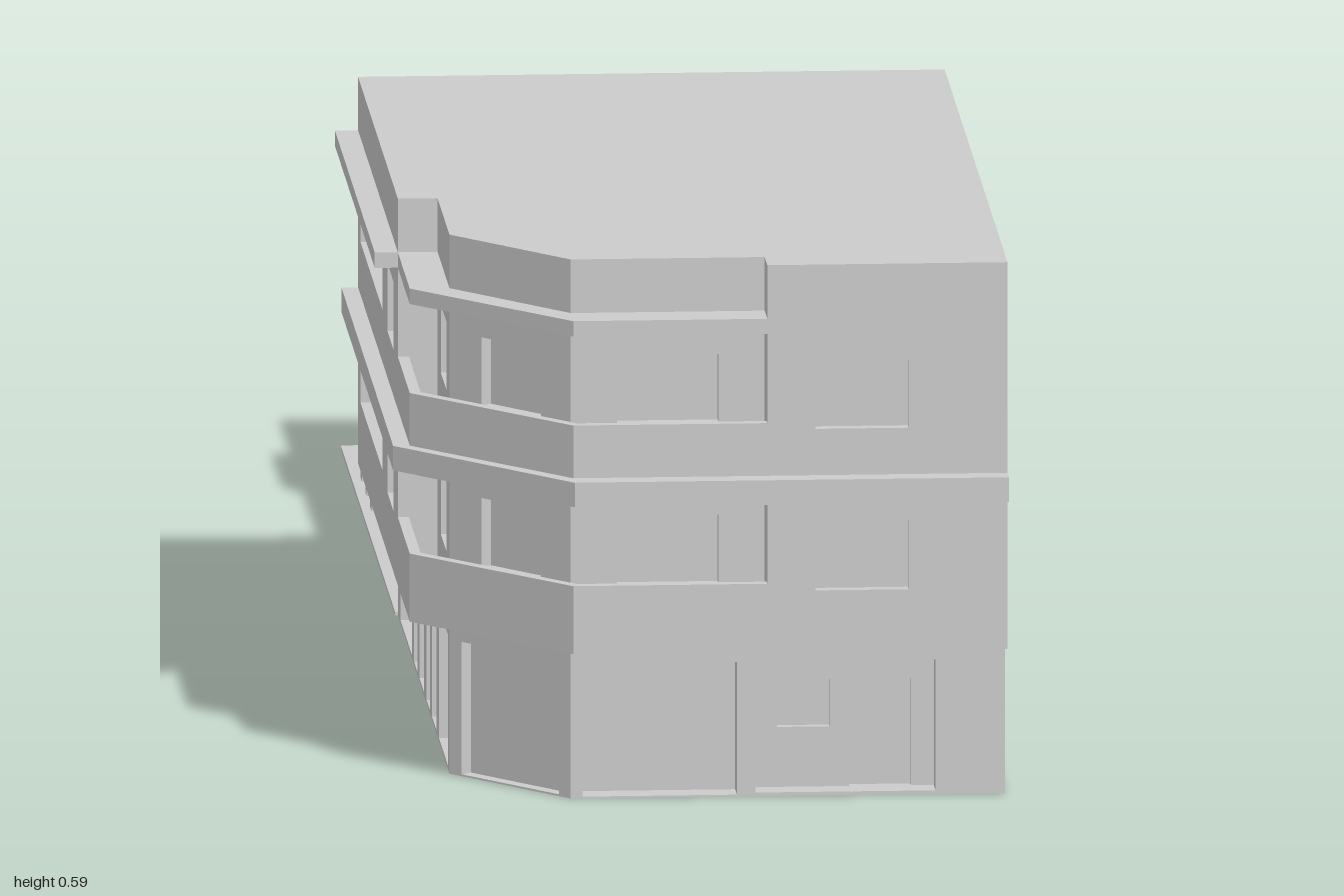
import * as THREE from 'three';

const mat = new THREE.MeshStandardMaterial({ color: 0xcccccc, flatShading: true, side: THREE.DoubleSide });

// Key heights
const OVER = 0.168, LOW = 0.215, TOP = 0.594, SILL = 0.004;

export function createModel() {
  const model = new THREE.Group();
  const add = (name, geo, parent = model) => {
    const m = new THREE.Mesh(geo, mat);
    m.name = name;
    parent.add(m);
    return m;
  };

  // Upright wall from a to b (plan [x, z], left to right seen from outside).
  // Openings are [u0, u1, y0, y1, open?], u measured along the wall; each gets a
  // recessed panel unless it is marked open.
  function wall(name, a, b, y0, y1, openings = [], depth = 0.014) {
    const dx = b[0] - a[0], dz = b[1] - a[1], len = Math.hypot(dx, dz);
    const rect = (T, u0, u1, v0, v1) => {
      const s = new T();
      s.moveTo(u0, v0); s.lineTo(u1, v0); s.lineTo(u1, v1); s.lineTo(u0, v1); s.closePath();
      return s;
    };
    const g = new THREE.Group();
    g.name = name;
    const shape = rect(THREE.Shape, 0, len, y0, y1);
    for (const [u0, u1, v0, v1, open] of openings) {
      shape.holes.push(rect(THREE.Path, u0, u1, v0, v1));
      if (!open) {
        const panel = new THREE.PlaneGeometry(u1 - u0, v1 - v0);
        panel.translate((u0 + u1) / 2, (v0 + v1) / 2, -depth);
        add(name + 'Panel', panel, g);
      }
    }
    const geo = openings.length
      ? new THREE.ExtrudeGeometry(shape, { depth, bevelEnabled: false }).translate(0, 0, -depth)
      : new THREE.ShapeGeometry(shape);
    add(name + 'Face', geo, g);
    g.position.set(a[0], 0, a[1]);
    g.rotation.y = Math.atan2(-dz, dx);
    model.add(g);
  }

  // Horizontal slab with a plan outline of [x, z] points
  function slab(name, pts, y0, y1) {
    const shape = new THREE.Shape(pts.map(([x, z]) => new THREE.Vector2(x, -z)));
    const geo = new THREE.ExtrudeGeometry(shape, { depth: y1 - y0, bevelEnabled: false });
    add(name, geo.rotateX(-Math.PI / 2).translate(0, y0, 0));
  }

  function box(name, x0, x1, y0, y1, z0, z1) {
    add(name, new THREE.BoxGeometry(x1 - x0, y1 - y0, z1 - z0)
      .translate((x0 + x1) / 2, (y0 + y1) / 2, (z0 + z1) / 2));
  }

  // Ground floor shopfronts: side, chamfered corner, front
  const bays = [[-0.04, 0.15], [0.19, 0.25], [0.28, 0.36], [0.40, 0.46], [0.49, 0.57], [0.61, 0.76]];
  wall('sideShopfront', [-0.262, -0.085], [-0.262, 0.785], 0, OVER,
    bays.map(([a, b]) => [a + 0.085, b + 0.085, SILL, 0.148]));
  wall('cornerShopfront', [-0.262, 0.785], [-0.14, 0.93], 0, OVER, [[0.019, 0.171, 0.002, 0.148]]);
  wall('frontShopfront', [-0.14, 0.93], [0.33, 0.93], 0, OVER,
    [[0.013, 0.18, 0.002, 0.148], [0.2, 0.395, 0.002, 0.148, true]], 0.03);
  wall('entrance', [0.06, 0.9], [0.255, 0.9], 0, 0.15,
    [[0.025, 0.082, 0.07, 0.122], [0.103, 0.17, SILL, 0.122]], 0.01);
  box('entranceStep', 0.06, 0.255, 0, SILL, 0.9, 0.93);

  // Overhang soffit around the street sides
  slab('soffit', [[-0.305, -0.085], [-0.305, 0.785], [-0.14, 0.975], [0.33, 0.975],
    [0.33, 0.93], [-0.14, 0.93], [-0.262, 0.785], [-0.262, -0.085]], OVER, OVER + 0.01);

  // Upper side wall with windows and deep loggias
  const loggias = [[0.19, 0.243, 0.335], [0.362, 0.42, 0.518]];
  const windows = [[0.235, 0.311], [0.413, 0.488]];
  wall('sideWall', [-0.305, -0.085], [-0.305, 0.585], OVER, TOP, [
    ...loggias.map(([, y0, y1]) => [0.039, 0.41, y0, y1, true]),
    ...windows.map(([y0, y1]) => [0.495, 0.595, y0, y1])]);
  const t = 0.004;
  for (const [floor, , ceil] of loggias) {
    box('loggiaFloor', -0.3, -0.145, floor - t, floor, -0.046, 0.325);
    box('loggiaCeiling', -0.3, -0.145, ceil, ceil + t, -0.046, 0.325);
    box('loggiaBack', -0.145, -0.145 + t, floor - t, ceil + t, -0.046, 0.325);
    box('loggiaEnd', -0.3, -0.145, floor, ceil, -0.046 - t, -0.046);
    box('loggiaEnd', -0.3, -0.145, floor, ceil, 0.325, 0.325 + t);
  }

  // Upper walls set back behind the corner balconies
  const openings = (u0, u1) => windows.map(([y0, y1]) => [u0, u1, y0, y1]);
  wall('sideReturn', [-0.305, 0.585], [-0.262, 0.585], OVER, TOP);
  wall('balconySideWall', [-0.262, 0.585], [-0.262, 0.785], OVER, TOP, openings(0.055, 0.155));
  wall('balconyCornerWall', [-0.262, 0.785], [-0.14, 0.93], OVER, TOP, openings(0.05, 0.143));
  wall('balconyFrontWall', [-0.14, 0.93], [0.07, 0.93], OVER, TOP, openings(0.05, 0.16));
  wall('frontReturn', [0.07, 0.93], [0.07, 0.975], OVER, TOP);
  wall('frontWall', [0.07, 0.975], [0.33, 0.975], OVER, TOP, openings(0.052, 0.153));

  // Balcony parapets, floor ledge and canopy
  const rim = [[-0.305, 0.585], [-0.305, 0.785], [-0.14, 0.975], [0.07, 0.975]];
  const rimInner = [[0.07, 0.963], [-0.135, 0.963], [-0.293, 0.78], [-0.293, 0.585]];
  const recess = [[0.07, 0.93], [-0.14, 0.93], [-0.262, 0.785], [-0.262, 0.585]];
  slab('lowerParapet', [...rim, ...rimInner], OVER, 0.243);
  slab('upperParapet', [...rim, ...rimInner], 0.36, 0.42);
  slab('ledge', [[-0.323, -0.085], [-0.323, 0.785], [-0.14, 1], [0.33, 1], [0.33, 0.97], [0.07, 0.97],
    ...recess, [-0.3, 0.585], [-0.3, -0.085]], 0.335, 0.362);
  slab('cornerCanopy', [...rim, ...recess], 0.518, 0.535);
  box('sideCanopy', -0.33, -0.304, 0.518, 0.535, -0.085, 0.585);

  // Main roof and rear wall
  slab('mainRoof', [[-0.305, -0.085], [-0.305, 0.585], [-0.262, 0.585], [-0.262, 0.785], [-0.14, 0.93],
    [0.07, 0.93], [0.07, 0.975], [0.33, 0.975], [0.33, -0.085]], TOP - 0.003, TOP);
  wall('mainBackWall', [0.33, -0.085], [-0.305, -0.085], LOW, TOP);
  wall('overhangBack', [-0.235, -0.085], [-0.305, -0.085], OVER, LOW);
  wall('groundBack', [-0.235, -0.085], [-0.262, -0.085], 0, OVER);

  // Blank party wall
  wall('partyWallGround', [0.33, 0.93], [0.33, -0.085], 0, OVER);
  wall('partyWallUpper', [0.33, 0.975], [0.33, -0.085], OVER, TOP);
  wall('partyWallRear', [0.33, -0.085], [0.33, -1], 0, LOW);

  // Low rear wing with a projecting bay
  wall('wingBackWall', [0.33, -1], [-0.235, -1], 0, LOW);
  wall('wingEndWall', [-0.235, -1], [-0.235, -0.82], 0, LOW, [[0.004, 0.176, SILL, 0.115]], 0.008);
  wall('bayReturn', [-0.235, -0.82], [-0.255, -0.82], 0, LOW);
  wall('bay', [-0.255, -0.82], [-0.255, -0.64], 0, LOW,
    [[0.02, 0.085, SILL, 0.13], [0.1, 0.16, SILL, 0.13]], 0.018);
  wall('bayReturn', [-0.255, -0.64], [-0.235, -0.64], 0, LOW);
  wall('wingWall', [-0.235, -0.64], [-0.235, -0.085], 0, LOW, [[0.004, 0.55, SILL, 0.115]], 0.008);
  slab('wingRoof', [[0.33, -1], [-0.235, -1], [-0.235, -0.82], [-0.255, -0.82], [-0.255, -0.64],
    [-0.235, -0.64], [-0.235, -0.085], [0.33, -0.085]], LOW - 0.003, LOW);
  box('plinth', -0.265, -0.235, 0, SILL, -1, -0.085);

  return model;
}
